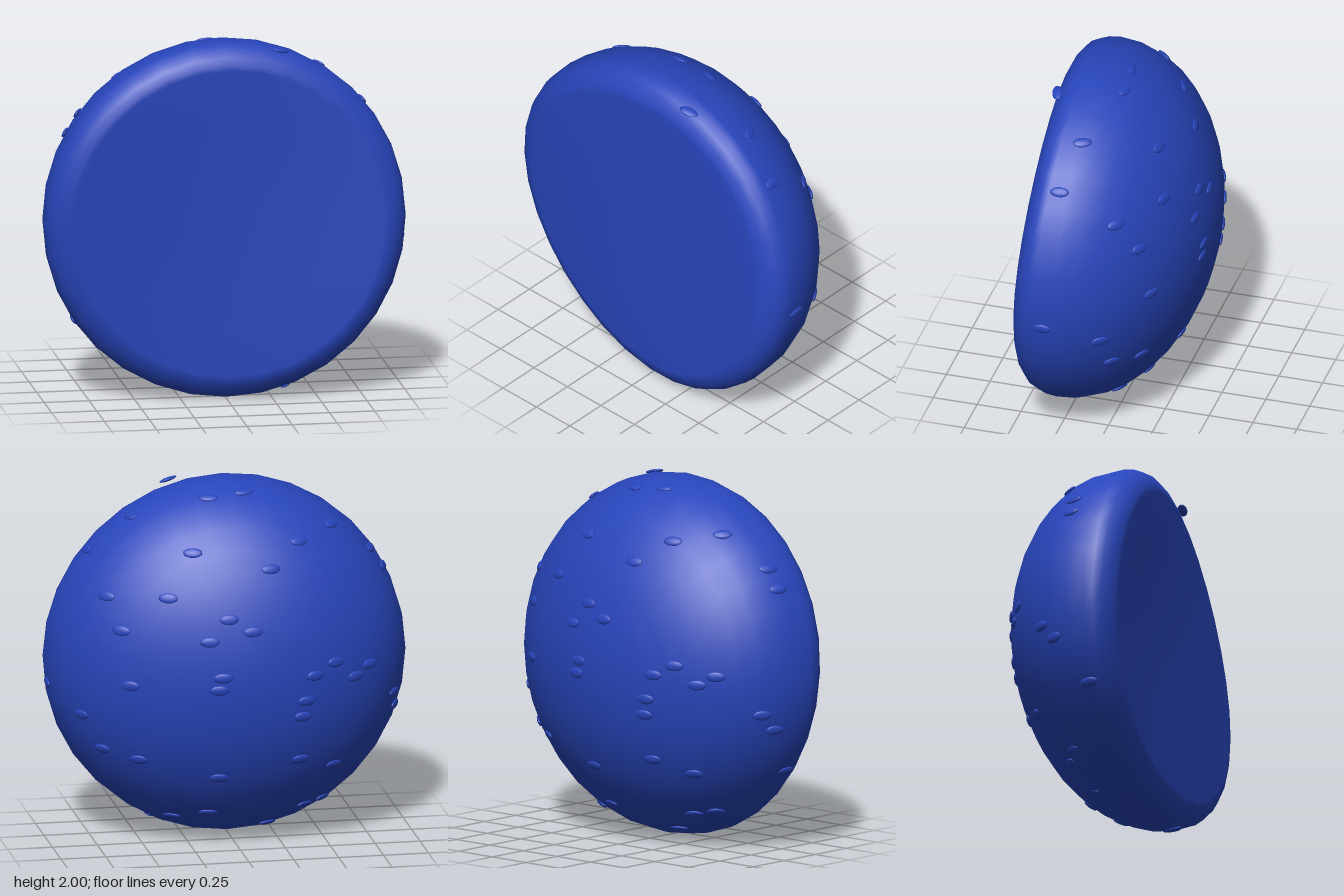
import * as THREE from 'three';
import { mergeVertices } from 'three/addons/utils/BufferGeometryUtils.js';

const RIM_Z = 0.25;    // where the dome is widest
const DEPTH = 0.695;   // dome depth behind the widest ring
const CENTRE_Y = 1;

// The whole bun leans slightly: its +x side sits a little further forward
const lean = (x, y) => 0.026 * x - 0.005 * y;

// Seeds on the dome: x, y from the centre, z where a seed sits on the rim, and a roll
const SEEDS = [
  // upper half
  [-0.86, 0.48], [-0.79, 0.585], [-0.55, 0.76], [-0.34, 0.72], [-0.16, 0.6], [-0.07, 0.953],
  [0.13, 0.935], [0.26, 0.69], [0.41, 0.46], [0.54, 0.823], [0.77, 0.63, 0.2], [0.72, 0.44],
  [0.66, 0.27], [0.29, 0.957, 0.355, -0.65],
  // around the apex
  [0.09, 0.35], [0.2, 0.23], [-0.04, 0.28], [0.13, 0.03], [0.15, -0.04], [0.62, -0.03],
  [-0.39, 0.01], [-0.51, 0.07], [-0.63, -0.03], [-0.72, 0.02], [-0.34, -0.13], [-0.32, -0.22],
  // lower half
  [0.985, -0.13, 0.24], [0.85, -0.24], [0.74, -0.43], [0.56, -0.47], [0.34, -0.85],
  [0.33, -0.94, 0.29], [0.42, -0.9, 0.25], [0.16, -0.81], [0.13, -0.57], [-0.32, -0.48],
  [-0.89, -0.2], [-0.91, -0.29], [-0.525, -0.55], [-0.39, -0.81], [-0.5, -0.79],
  [-0.83, -0.55, 0.2], [-0.2, -0.925],
];

// Domed body: a turned profile with a gently warped flat face
function bodyGeometry() {
  const profile = [];
  for (let i = 0; i <= 10; i++) {
    const a = (i / 10) * Math.PI / 2;
    profile.push([Math.sin(a), RIM_Z - DEPTH * Math.cos(a)]);
  }
  profile.push([0.993, 0.303], [0.97, 0.347], [0.93, 0.38], [0.89, 0.398], [0.86, 0.404],
    [0.6, 0.404], [0.3, 0.404], [0, 0.404]);

  let geo = new THREE.LatheGeometry(profile.map(([r, z]) => new THREE.Vector2(r, z)), 32);
  geo.rotateX(Math.PI / 2);
  geo.deleteAttribute('normal');
  geo.deleteAttribute('uv');
  geo = mergeVertices(geo, 1e-4);

  // Lean everywhere, plus a saddle-shaped warp that fades out at the widest ring
  const p = geo.attributes.position;
  for (let i = 0; i < p.count; i++) {
    const x = p.getX(i), y = p.getY(i), z = p.getZ(i);
    const fade = THREE.MathUtils.clamp((z - 0.2) / 0.19, 0, 1);
    p.setZ(i, z + lean(x, y) - fade * 0.078 * x * y);
  }
  geo.computeVertexNormals();
  return geo;
}

export function createModel() {
  const group = new THREE.Group();
  group.name = 'seededBun';
  const material = new THREE.MeshStandardMaterial({ color: 0x2845bb });

  const body = new THREE.Mesh(bodyGeometry(), material);
  body.name = 'bunTop';
  body.position.y = CENTRE_Y;
  group.add(body);

  // Flattened seeds, each lying on the dome with its long axis horizontal
  const seeds = new THREE.Group();
  seeds.name = 'seeds';
  seeds.position.y = CENTRE_Y;
  const seedGeo = new THREE.SphereGeometry(1, 14, 10).scale(0.053, 0.028, 0.011);
  const up = new THREE.Vector3(0, 1, 0);
  for (const [x, y, rimZ, roll = 0] of SEEDS) {
    const z = rimZ ?? RIM_Z - DEPTH * Math.sqrt(1 - x * x - y * y) + lean(x, y);
    const normal = new THREE.Vector3(x, y, (z - RIM_Z) / DEPTH ** 2).normalize();
    const along = new THREE.Vector3().crossVectors(up, normal).normalize();
    const across = new THREE.Vector3().crossVectors(normal, along);
    const seed = new THREE.Mesh(seedGeo, material);
    seed.name = 'seed';
    seed.position.set(x, y, z);
    seed.quaternion.setFromRotationMatrix(new THREE.Matrix4().makeBasis(along, across, normal));
    seed.rotateZ(roll);
    seeds.add(seed);
  }
  group.add(seeds);
  return group;
}
